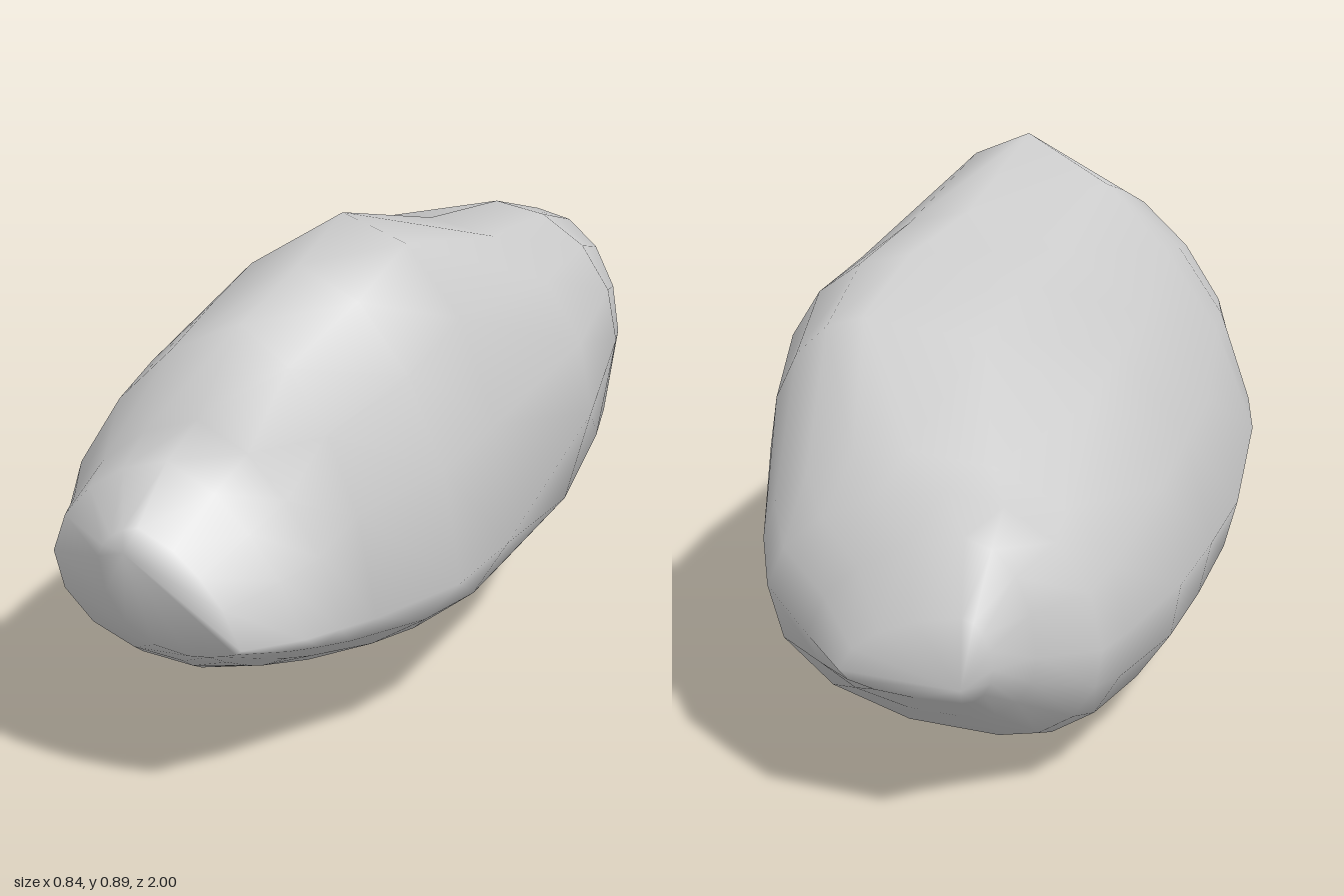
import * as THREE from 'three';

// Cross-sections from front to back:
// [z, leftmost x, its y, rightmost x, its y, top x, top y, bottom x, bottom y]
const SECTIONS = [
  [0.965, -0.16, 0.43, 0.08, 0.3, -0.09, 0.485, -0.01, 0.28],
  [0.87, -0.285, 0.39, 0.15, 0.29, -0.08, 0.565, -0.06, 0.225],
  [0.81, -0.305, 0.37, 0.19, 0.29, -0.05, 0.62, -0.07, 0.19],
  [0.75, -0.33, 0.355, 0.23, 0.29, 0.0, 0.765, -0.08, 0.16],
  [0.61, -0.375, 0.32, 0.33, 0.31, 0.05, 0.835, -0.09, 0.105],
  [0.48, -0.4, 0.29, 0.375, 0.34, 0.08, 0.895, -0.1, 0.065],
  [0.08, -0.42, 0.25, 0.42, 0.455, 0.11, 0.8, -0.11, 0.005],
  [-0.22, -0.41, 0.26, 0.395, 0.51, 0.15, 0.77, -0.11, 0.0],
  [-0.46, -0.39, 0.26, 0.345, 0.46, 0.17, 0.705, -0.11, 0.02],
  [-0.69, -0.335, 0.25, 0.285, 0.37, 0.03, 0.54, -0.13, 0.055],
  [-0.78, -0.31, 0.25, 0.25, 0.32, -0.05, 0.5, -0.14, 0.09],
  [-0.885, -0.225, 0.27, 0.15, 0.28, -0.11, 0.46, -0.12, 0.16],
  [-0.95, -0.17, 0.27, 0.08, 0.25, -0.12, 0.35, -0.12, 0.21],
];
// Roundness of each section's quadrants: upper +x, upper -x, lower -x, lower +x
const ROUNDNESS = [
  [1.4, 1.7, 2, 1.7],
  [1.4, 1.7, 2, 1.6],
  [1.5, 1.65, 2, 1.55],
  [1.55, 1.6, 2, 1.5],
  [1.75, 1.5, 2, 1.5],
  [1.95, 1.4, 2, 1.6],
  [2, 1.65, 1.95, 1.9],
  [2, 1.9, 2, 2.1],
  [2, 2.1, 2.2, 2.25],
  [1.9, 2.1, 2.3, 2.2],
  [1.8, 2, 2.2, 2.1],
  [1.7, 1.9, 2, 2],
  [1.7, 1.8, 2, 2],
];
const FRONT_TIP = [-0.1, 0.455, 1];
const BACK_TIP = [-0.13, 0.25, -1];
const SIDES = 16;

// One point of a lopsided superelliptic ring
function ringPoint([z, xl, yl, xr, yr, xt, yt, xb, yb], roundness, j) {
  const a = (j / SIDES) * Math.PI * 2;
  const c = Math.cos(a), s = Math.sin(a);
  const p = roundness[Math.floor((j * 4) / SIDES)];
  const k = Math.pow(Math.abs(c) ** p + Math.abs(s) ** p, -1 / p);
  const u = Math.abs(c) * k, v = Math.abs(s) * k;
  const [sx, sy] = c > 0 ? [xr, yr] : [xl, yl];
  const [ex, ey] = s >= 0 ? [xt, yt] : [xb, yb];
  // quarter arc from the side point (sx, sy) to the end point (ex, ey)
  return [ex + (sx - ex) * u, sy + (ey - sy) * v, z];
}

function createRockGeometry() {
  const positions = [...FRONT_TIP];
  SECTIONS.forEach((section, i) => {
    for (let j = 0; j < SIDES; j++) positions.push(...ringPoint(section, ROUNDNESS[i], j));
  });
  positions.push(...BACK_TIP);

  const last = SECTIONS.length - 1;
  const back = positions.length / 3 - 1;
  const id = (i, j) => 1 + i * SIDES + (j % SIDES);
  const index = [];
  for (let j = 0; j < SIDES; j++) {
    index.push(0, id(0, j), id(0, j + 1));
    for (let i = 0; i < last; i++) {
      const a = id(i, j), b = id(i, j + 1), c = id(i + 1, j), d = id(i + 1, j + 1);
      index.push(a, c, b, b, c, d);
    }
    index.push(back, id(last, j + 1), id(last, j));
  }

  const geometry = new THREE.BufferGeometry();
  geometry.setAttribute('position', new THREE.Float32BufferAttribute(positions, 3));
  geometry.setIndex(index);
  geometry.computeVertexNormals();
  return geometry;
}

export function createModel() {
  const group = new THREE.Group();
  group.name = 'rock';
  const stone = new THREE.Mesh(
    createRockGeometry(),
    new THREE.MeshStandardMaterial({ color: 0xcccccc })
  );
  stone.name = 'stone';
  group.add(stone);
  return group;
}
